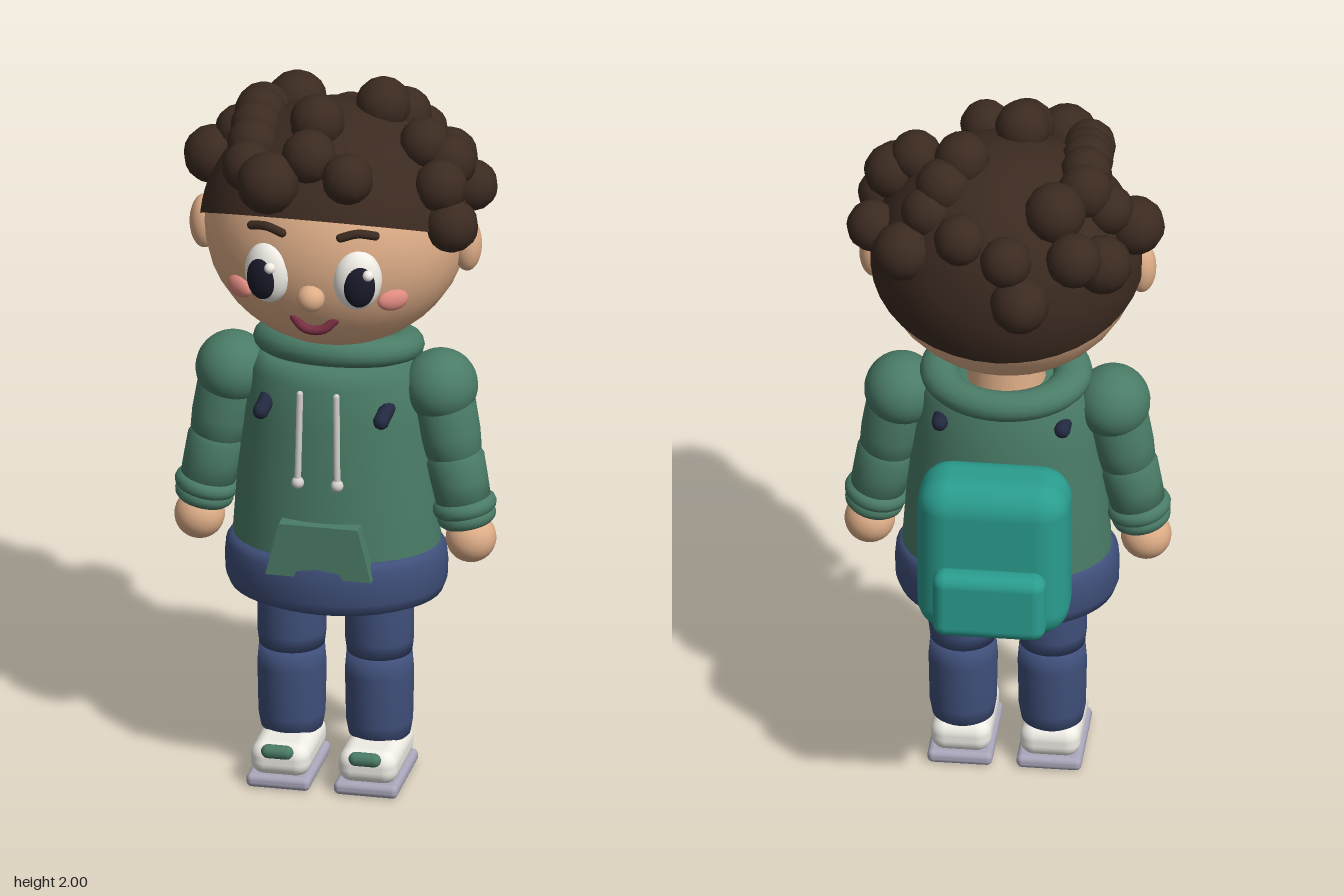
import * as THREE from 'three';
import { RoundedBoxGeometry } from 'three/addons/geometries/RoundedBoxGeometry.js';

const mat = (color, extra = {}) => new THREE.MeshStandardMaterial({ color, ...extra });
const V = (x, y, z) => new THREE.Vector3(x, y, z);
const skin = mat(0xdfae88), hair = mat(0x3b2a20), green = mat(0x4a7c67), blue = mat(0x3f4f7a);
const teal = mat(0x2a9d8f), navy = mat(0x232a40), white = mat(0xf0ede6), lilac = mat(0xaaa6ba);
const black = mat(0x1a1a2a), blush = mat(0xe08a80), lips = mat(0x7a2f42), cord = mat(0xd4d0cc);
const hairCap = mat(0x3b2a20, { side: THREE.DoubleSide });

export function createModel() {
  const model = new THREE.Group();
  model.name = 'child';

  const add = (name, geo, material, x = 0, y = 0, z = 0, parent = model) => {
    const m = new THREE.Mesh(geo, material);
    m.name = name;
    m.position.set(x, y, z);
    parent.add(m);
    return m;
  };
  const ball = (name, material, x, y, z, rx, ry = rx, rz = rx, parent = model) => {
    const m = add(name, new THREE.SphereGeometry(1, 32, 20), material, x, y, z, parent);
    m.scale.set(rx, ry, rz);
    return m;
  };
  const lathe = (name, pts, material, x, y, z, zScale = 1, parent = model) => {
    const g = new THREE.LatheGeometry(pts.map(p => new THREE.Vector2(...p)), 40);
    const m = add(name, g, material, x, y, z, parent);
    m.scale.z = zScale;
    return m;
  };
  const tube = (name, pts, r, material) => {
    const curve = new THREE.CatmullRomCurve3(pts);
    const m = add(name, new THREE.TubeGeometry(curve, 20, r, 10), material);
    for (const p of [pts[0], pts[pts.length - 1]]) {
      add(name + 'End', new THREE.SphereGeometry(r, 10, 8), material, p.x, p.y, p.z);
    }
    return m;
  };
  const rounded = (name, w, h, d, r, material, x, y, z) =>
    add(name, new RoundedBoxGeometry(w, h, d, 4, r), material, x, y, z);

  // Head and hair cap, tilted so the hairline rises at the front
  ball('head', skin, 0, 1.59, 0.06, 0.355, 0.33, 0.33);
  const cap = add('hairCap', new THREE.SphereGeometry(1, 40, 16, 0, Math.PI * 2, 0, Math.PI / 2),
    hairCap, 0, 1.58, 0.06);
  cap.scale.set(0.368, 0.35, 0.34);
  cap.rotation.x = -0.44;

  // Curls: x, y, z, radius
  const curls = [
    [-0.07, 1.645, -0.275, 0.08], [-0.03, 1.76, -0.25, 0.07], [0.1, 1.79, -0.2, 0.07],
    [0.26, 1.715, -0.155, 0.08], [0.2, 1.81, -0.1, 0.07], [0.16, 1.87, -0.06, 0.075],
    [0.115, 1.92, 0, 0.075], [0.355, 1.7, -0.015, 0.07], [0.315, 1.81, 0.09, 0.075],
    [0.25, 1.86, 0.095, 0.07], [0.345, 1.67, 0.195, 0.073], [0.31, 1.77, 0.17, 0.073],
    [-0.03, 1.925, 0.165, 0.075], [-0.03, 1.865, 0.265, 0.075], [0.085, 1.83, 0.31, 0.07],
    [-0.13, 1.805, 0.325, 0.085], [-0.2, 1.82, 0.26, 0.07], [-0.205, 1.85, 0.175, 0.07],
    [-0.21, 1.87, 0.11, 0.07], [-0.215, 1.88, 0.035, 0.07], [-0.22, 1.86, -0.03, 0.075],
    [-0.28, 1.8, -0.02, 0.07], [-0.35, 1.735, 0.01, 0.08], [-0.28, 1.71, -0.155, 0.08],
    [-0.21, 1.76, -0.22, 0.075], [-0.15, 1.85, -0.13, 0.083],
  ];
  const curlGroup = new THREE.Group();
  curlGroup.name = 'curls';
  model.add(curlGroup);
  for (const [x, y, z, r] of curls) {
    add('curl', new THREE.SphereGeometry(r, 12, 10), hair, x, y, z, curlGroup);
  }

  // Face
  ball('nose', skin, 0, 1.505, 0.383, 0.038);
  tube('mouth', [V(-0.055, 1.425, 0.335), V(-0.03, 1.402, 0.343), V(0, 1.395, 0.345),
    V(0.03, 1.402, 0.343), V(0.055, 1.425, 0.335)], 0.013, lips);
  for (const s of [-1, 1]) {
    ball('ear', skin, s * 0.36, 1.565, 0.07, 0.04, 0.077, 0.042);
    ball('eyeWhite', white, s * 0.123, 1.56, 0.357, 0.066, 0.086, 0.045).rotation.y = s * 0.3;
    ball('pupil', black, s * 0.134, 1.552, 0.385, 0.043, 0.06, 0.025).rotation.y = s * 0.3;
    ball('eyeHighlight', white, s * 0.134 + 0.026, 1.59, s > 0 ? 0.394 : 0.401, 0.015);
    ball('cheek', blush, s * 0.21, 1.49, 0.311, 0.045, 0.03, 0.02).rotation.y = s * 0.65;
    tube('eyebrow', [V(s * 0.08, 1.685, 0.375), V(s * 0.125, 1.697, 0.366), V(s * 0.17, 1.688, 0.348)],
      0.012, hair);
  }

  // Hoodie body, hem and hood
  add('neck', new THREE.CylinderGeometry(0.1, 0.11, 0.16, 24), skin, 0, 1.23, 0.04);
  lathe('hoodieBody', [[0, 0.6], [0.285, 0.6], [0.282, 0.68], [0.27, 0.85], [0.25, 1.05],
    [0.235, 1.17], [0.2, 1.215], [0, 1.22]], green, 0, 0, 0.055, 0.76);
  lathe('hem', [[0, 0.53], [0.265, 0.53], [0.288, 0.54], [0.3, 0.57], [0.302, 0.62],
    [0.298, 0.66], [0.285, 0.68], [0.25, 0.69], [0, 0.69]], blue, 0, 0, 0.06, 0.79);
  const hood = add('hood', new THREE.TorusGeometry(0.18, 0.052, 16, 40), green, 0, 1.235, 0.03);
  hood.rotation.x = Math.PI / 2 - 0.17;
  hood.scale.set(1, 0.8, 0.8);

  // Front pocket
  const shape = new THREE.Shape([[-0.145, 0.645], [0.145, 0.645], [0.108, 0.795], [-0.108, 0.795]]
    .map(p => new THREE.Vector2(...p)));
  add('frontPocket', new THREE.ExtrudeGeometry(shape, { depth: 0.055, bevelEnabled: false }),
    green, 0, 0, 0.235);

  for (const s of [-1, 1]) {
    // Drawstrings and pack straps
    tube('drawstring', [V(s * 0.05, 1.18, 0.29), V(s * 0.052, 1.05, 0.294), V(s * 0.054, 0.93, 0.298)],
      0.009, cord);
    ball('drawstringTip', cord, s * 0.054, 0.925, 0.298, 0.017);
    tube('strap', [V(s * 0.165, 1.105, 0.255), V(s * 0.165, 1.11, 0.17), V(s * 0.165, 1.13, 0.03),
      V(s * 0.165, 1.135, -0.095)], 0.022, navy);

    // Arm, hanging along a slightly outward line
    const arm = new THREE.Group();
    arm.name = s > 0 ? 'leftArm' : 'rightArm';
    arm.position.set(s * 0.285, 1.14, 0.058);
    arm.rotation.set(-0.04, 0, s * 0.2);
    model.add(arm);
    ball('shoulder', green, 0, 0, 0, 0.1, 0.1, 0.105, arm);
    lathe('upperSleeve', [[0, -0.225], [0.055, -0.215], [0.076, -0.19], [0.082, -0.14], [0.085, -0.05],
      [0.07, 0.03], [0, 0.05]], green, 0, 0, 0, 1, arm);
    lathe('lowerSleeve', [[0, -0.36], [0.073, -0.36], [0.077, -0.27], [0.079, -0.21], [0.06, -0.17],
      [0, -0.16]], green, 0, 0, 0, 1, arm);
    for (const [y, r] of [[-0.345, 0.062], [-0.375, 0.055]]) {
      add('cuff', new THREE.TorusGeometry(r, 0.025, 12, 32), green, 0, y, 0, arm).rotation.x = Math.PI / 2;
    }
    ball('hand', skin, 0, -0.438, 0, 0.068, 0.068, 0.068, arm);

    // Leg
    const x = s * 0.12;
    lathe('upperLeg', [[0, 0.35], [0.088, 0.36], [0.093, 0.4], [0.093, 0.5], [0.085, 0.57], [0, 0.6]],
      blue, x, 0, 0.07);
    lathe('lowerLeg', [[0, 0.085], [0.05, 0.092], [0.083, 0.12], [0.09, 0.16], [0.093, 0.3], [0.088, 0.36],
      [0, 0.37]], blue, x, 0, 0.07);

    // Shoe
    rounded('sole', 0.175, 0.038, 0.28, 0.016, lilac, x, 0.019, 0.115);
    rounded('shoe', 0.163, 0.095, 0.265, 0.04, white, x, 0.077, 0.115);
    const tab = add('shoeStrap', new THREE.CapsuleGeometry(0.019, 0.05, 6, 14), green, x, 0.112, 0.254);
    tab.rotation.z = Math.PI / 2;
  }

  // Backpack
  rounded('backpack', 0.41, 0.47, 0.22, 0.085, teal, 0, 0.85, -0.25);
  rounded('backpackPocket', 0.305, 0.195, 0.08, 0.035, teal, 0, 0.753, -0.381);

  return model;
}
